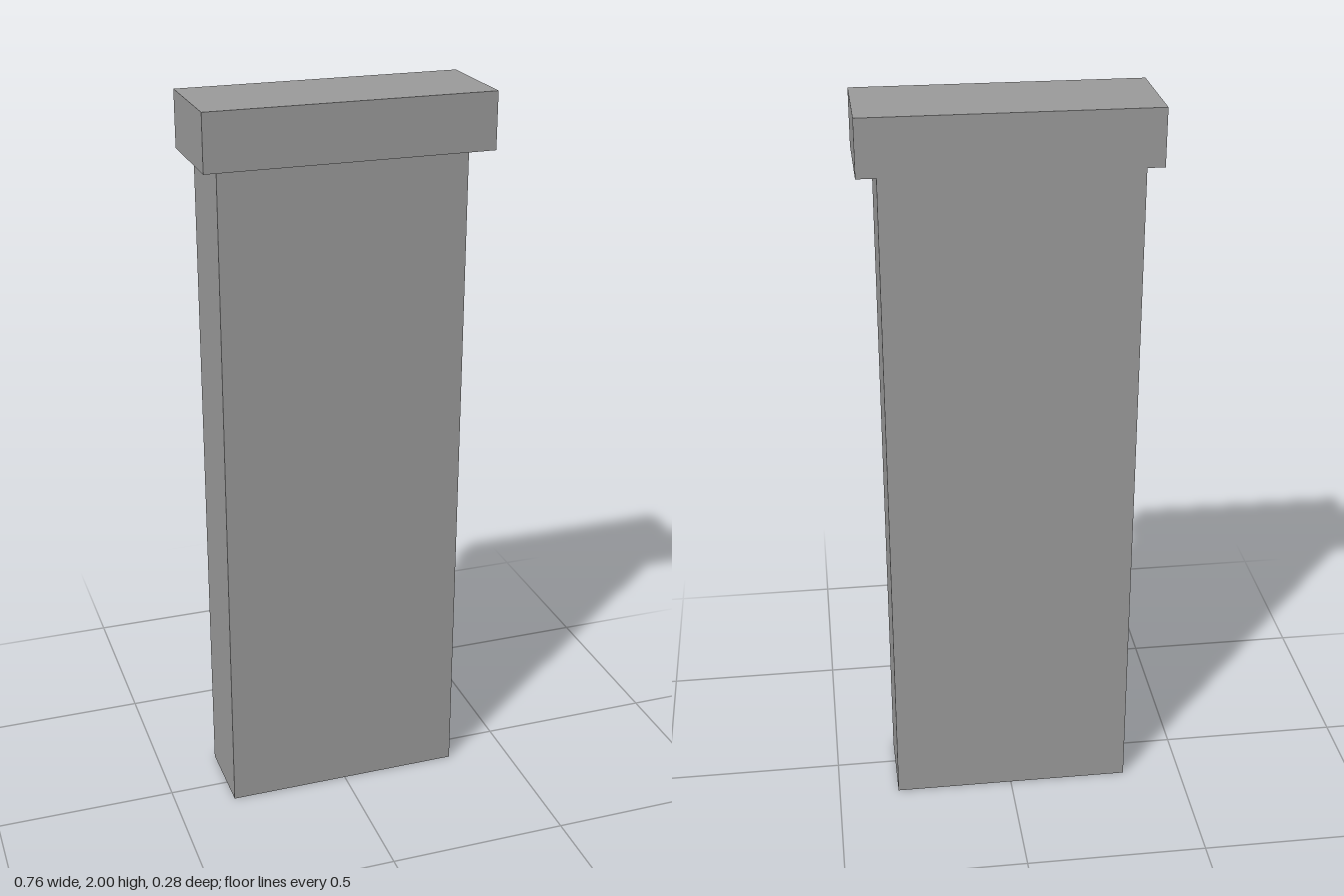
import * as THREE from 'three';

const material = new THREE.MeshStandardMaterial({ color: 0x9b9b9b });

// Box given by its extents along x, y and z
function slab(name, [left, right], [bottom, top], [back, front]) {
  const geometry = new THREE.BoxGeometry(right - left, top - bottom, front - back);
  geometry.translate((left + right) / 2, (bottom + top) / 2, (back + front) / 2);
  const mesh = new THREE.Mesh(geometry, material);
  mesh.name = name;
  return mesh;
}

export function createModel() {
  const model = new THREE.Group();
  model.name = 'pilaster';

  // Shaft and overhanging cap share a flush back plane
  const back = -0.14;
  model.add(slab('shaft', [-0.335, 0.33], [0, 1.85], [back, 0.085]));
  model.add(slab('cap', [-0.381, 0.381], [1.85, 2], [back, 0.14]));

  return model;
}
